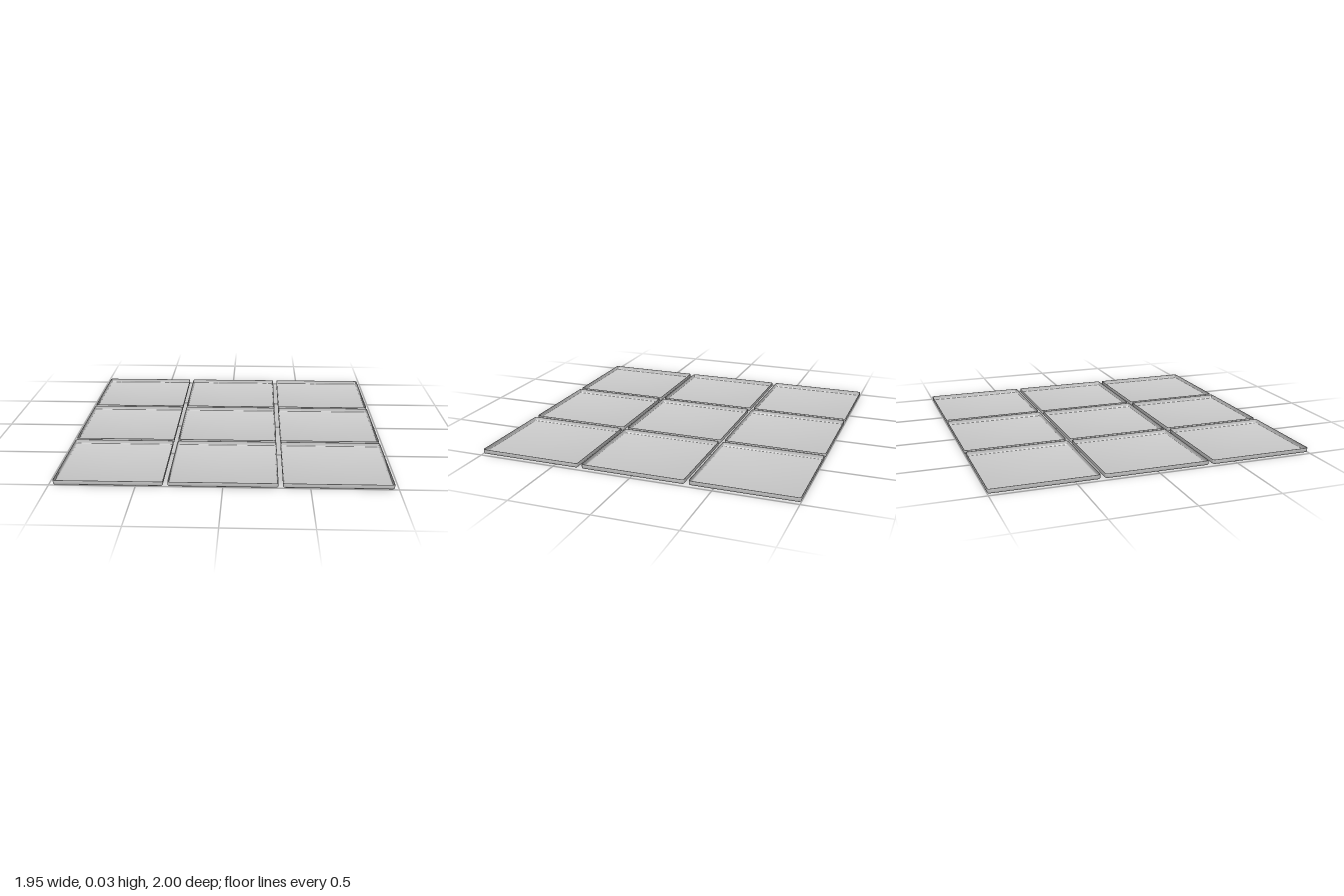
import * as THREE from 'three';
import { toCreasedNormals } from 'three/addons/utils/BufferGeometryUtils.js';

const WIDTH = 0.634, DEPTH = 0.649, HEIGHT = 0.029;
const PITCH_X = 0.66, PITCH_Z = 0.6755;
const WALL = 0.003, CORNER = 0.013, FILLET = 0.01, STEPS = 3;

// Rounded rectangle, inset from the outer edge, at height y
function ring(inset, y) {
  const points = [];
  for (let q = 0; q < 4; q++) {
    const cx = (q === 0 || q === 3 ? 1 : -1) * (WIDTH / 2 - CORNER);
    const cz = (q < 2 ? 1 : -1) * (DEPTH / 2 - CORNER);
    for (let k = 0; k <= STEPS; k++) {
      const a = (q + k / STEPS) * Math.PI / 2;
      points.push([cx + Math.cos(a) * (CORNER - inset), y, cz + Math.sin(a) * (CORNER - inset)]);
    }
  }
  return points;
}

// Quarter round between floor and wall, from the floor upwards
function fillet(inset, y, radius) {
  return Array.from({ length: STEPS + 1 }, (_, k) => {
    const a = k / STEPS * Math.PI / 2;
    return ring(inset + radius * (1 - Math.sin(a)), y + radius * (1 - Math.cos(a)));
  });
}

// Shallow open tray: inner floor, inner wall, rim, outer wall, underside
function trayGeometry() {
  const count = 4 * (STEPS + 1);
  const centre = y => Array.from({ length: count }, () => [0, y, 0]);
  const rings = [
    centre(WALL),
    ...fillet(WALL, WALL, FILLET - WALL),
    ring(WALL, HEIGHT),
    ring(0, HEIGHT),
    ...fillet(0, 0, FILLET).reverse(),
    centre(0),
  ];
  const index = [];
  for (let i = 0; i < rings.length - 1; i++) {
    for (let j = 0; j < count; j++) {
      const a = i * count + j, b = i * count + (j + 1) % count;
      index.push(a, b, a + count, b, b + count, a + count);
    }
  }
  const geometry = new THREE.BufferGeometry();
  geometry.setAttribute('position', new THREE.Float32BufferAttribute(rings.flat(2), 3));
  geometry.setIndex(index);
  return toCreasedNormals(geometry, Math.PI / 4);
}

export function createModel() {
  const group = new THREE.Group();
  group.name = 'trayGrid';
  const material = new THREE.MeshStandardMaterial({ color: 0xcccccc });
  const geometry = trayGeometry();

  // Three by three trays with narrow gaps
  for (let row = -1; row <= 1; row++) {
    for (let column = -1; column <= 1; column++) {
      const tray = new THREE.Mesh(geometry, material);
      tray.name = `trayRow${row + 2}Column${column + 2}`;
      tray.position.set(column * PITCH_X, 0, row * PITCH_Z);
      group.add(tray);
    }
  }
  return group;
}
